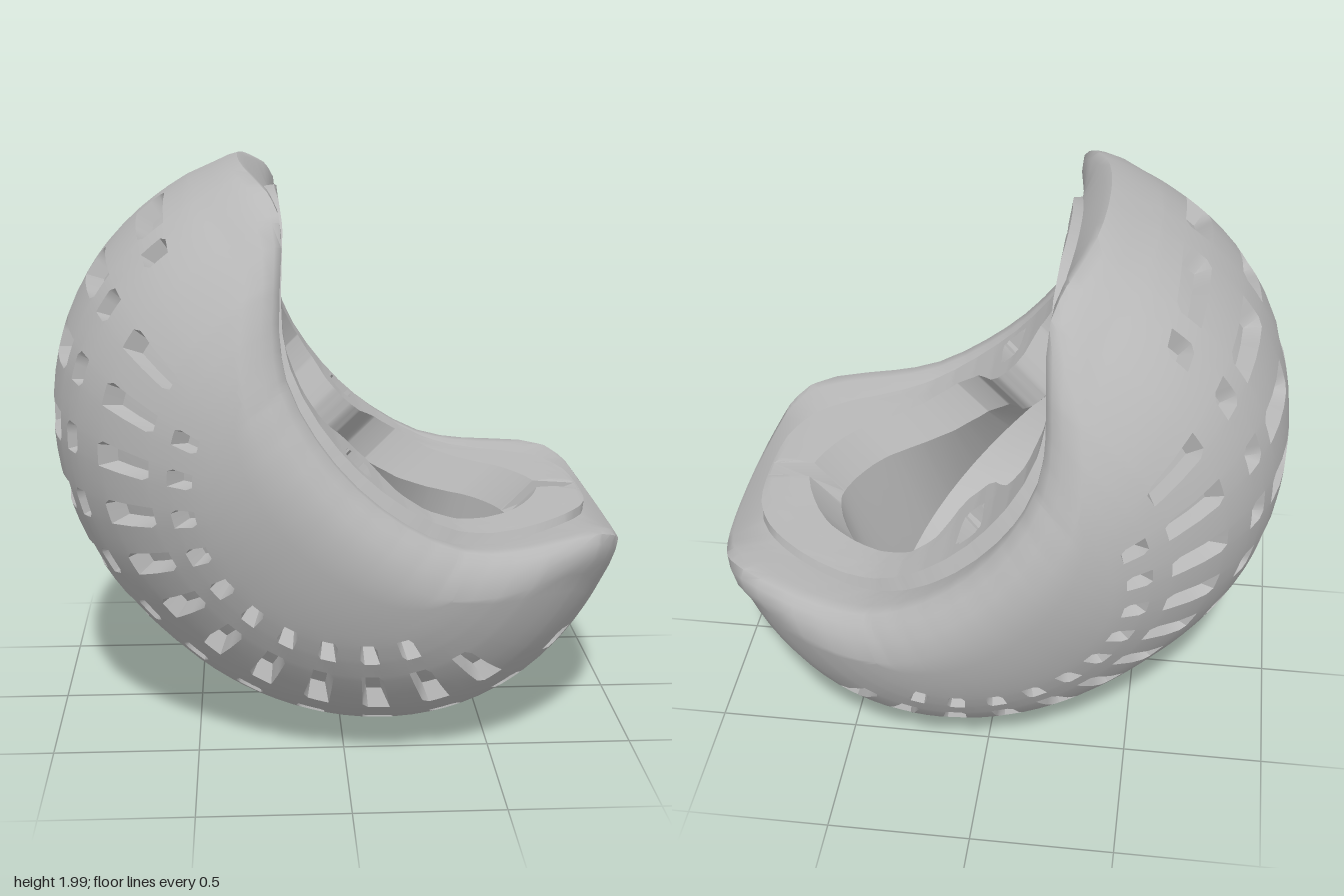
import * as THREE from 'three';
import { toCreasedNormals } from 'three/addons/utils/BufferGeometryUtils.js';

// Local frame: u = axis through the opening (tilted 45 degrees), v = along the pod, z = across it.
const RAD = Math.PI / 180, RV = 1.06, RZ = 0.935, POW = 2.35;
const S = Math.SQRT1_2;
const toWorld = ([v, u, z]) => [(u - v) * S, 1 + (u + v) * S, z];
const depthOf = u => (u < 0 ? 0.938 : 1.05);

function table(points, x) {
  for (let i = 1; i < points.length; i++) {
    const [x0, y0] = points[i - 1], [x1, y1] = points[i];
    if (x <= x1) return y0 + (y1 - y0) * (x - x0) / (x1 - x0);
  }
  return points[points.length - 1][1];
}

// Saddle height of the rim along v
const saddle = v => table([[0, 0.04], [0.1, 0.045], [0.2, 0.06], [0.3, 0.085], [0.4, 0.125], [0.48, 0.18],
  [0.55, 0.245], [0.7, 0.415], [0.76, 0.463], [0.82, 0.482], [0.95, 0.465], [1.1, 0.42]], Math.abs(v));

// Radius of the opening by angle: wide arch, bump at each side
const archRadius = phi => {
  const a = Math.asin(Math.min(1, Math.abs(Math.sin(phi)))) / RAD;
  return table([[0, 0.66], [15, 0.648], [27.8, 0.644], [47, 0.616],
    [63, 0.595], [71.6, 0.537], [77.6, 0.42], [83, 0.385], [90, 0.38]], a);
};
// The same with the narrow notch at each end
const openingRadius = phi => Math.abs(Math.sin(phi)) < 0.05 ? 0.77 : archRadius(phi);

// Outline of the pod seen along its axis
const outline = phi => Math.pow(Math.pow(Math.abs(Math.cos(phi)) / RV, POW) +
  Math.pow(Math.abs(Math.sin(phi)) / RZ, POW), -1 / POW);

// Pushes a point onto the rounded outer surface, less a depth
function onSurface([v, u, z], depth = 0) {
  const flat = Math.pow(Math.pow(Math.abs(v) / RV, POW) + Math.pow(Math.abs(z) / RZ, POW), 2 / POW);
  const k = 1 / Math.sqrt(flat + (u / depthOf(u)) ** 2) - depth / Math.hypot(v, u, z);
  return [v * k, u * k, z * k];
}

// Triangles from quads of points
function quadGeometry(quads, crease) {
  const pos = [];
  for (const [a, b, c, d] of quads) {
    for (const p of [a, b, c, a, c, d]) pos.push(...toWorld(p));
  }
  const g = new THREE.BufferGeometry();
  g.setAttribute('position', new THREE.Float32BufferAttribute(pos, 3));
  return toCreasedNormals(g, crease);
}

function ringQuads(rings) {
  const quads = [];
  for (let r = 0; r + 1 < rings.length; r++) {
    const p = rings[r], q = rings[r + 1];
    for (let i = 0; i < p.length; i++) {
      const j = (i + 1) % p.length;
      quads.push([p[i], p[j], q[j], q[i]]);
    }
  }
  return quads;
}

export function createModel() {
  const grey = new THREE.MeshStandardMaterial({ color: 0xb8b8b8 });
  grey.name = 'grey';
  grey.side = THREE.DoubleSide;

  // Grid lines of the outer shell, following the edges of the pockets
  const half = [2.6, 3.6, 5, 10, 15, 19.5, 21, 25, 26.2, 28.6, 29.8, 33, 37, 38.5, 43, 48.5, 50, 54, 55.2, 58, 59.2, 62];
  const psis = [...half.map(a => -a).reverse(), 0, ...half];
  const betas = [-105];
  for (let k = -7; k < 7; k++) {
    for (const o of [-3.3, -2, 0, 2, 3.3, 7.5]) betas.push(7.5 + 15 * k + o);
  }
  const bands = [[3.6, 21, 100], [25, 29.8, 100], [37, 50, 90], [54, 59.2, 75]];
  const isPocket = (beta, psi) => {
    const centre = Math.floor(beta / 15) * 15 + 7.5, p = Math.abs(psi);
    return Math.abs(beta - centre) < 3.2 &&
      bands.some(([lo, hi, reach]) => p > lo + 0.01 && p < hi - 0.01 && Math.abs(centre) < reach);
  };
  const grid = betas.map(beta => psis.map(psi => {
    const squeeze = 0.17 * (psi / 62) ** 2 * Math.abs(beta / 105) ** 3;
    const b = beta * (1 - squeeze) * RAD, c = Math.cos(psi * RAD);
    return onSurface([Math.sin(b) * c, -Math.cos(b) * c, Math.sin(psi * RAD)], isPocket(beta, psi) ? 0.06 : 0);
  }));
  const shellQuads = [];
  const I = betas.length - 1, J = psis.length - 1;
  for (let i = 0; i < I; i++) {
    for (let j = 0; j < J; j++) {
      shellQuads.push([grid[i][j], grid[i][j + 1], grid[i + 1][j + 1], grid[i + 1][j]]);
    }
  }

  // Border of the grid, counter-clockwise; every ring above it reuses its angles
  const border = [];
  for (let j = 0; j < J; j++) border.push(grid[I][j]);
  for (let i = I; i > 0; i--) border.push(grid[i][J]);
  for (let j = J; j > 0; j--) border.push(grid[0][j]);
  for (let i = 0; i < I; i++) border.push(grid[i][0]);
  const phis = border.map(p => Math.atan2(p[2], p[0]));

  const ring = (radius, height) => phis.map(phi => {
    const r = radius(phi), v = r * Math.cos(phi);
    return [v, height(v, phi), r * Math.sin(phi)];
  });
  // Ring at a share of the outline, with one share for the sides and one for the ends
  const scaled = (side, end) => phi => outline(phi) * (side + (end - side) * Math.cos(phi) ** 2);
  const rimAt = drop => v => saddle(v) - drop;

  // Rounded upper edge of the shell
  const shoulder = phis.map(phi => {
    const r = outline(phi), u = saddle(r * 0.96 * Math.cos(phi)) - 0.16;
    const k = r * Math.sqrt(1 - (u / depthOf(u)) ** 2);
    return [k * Math.cos(phi), u, k * Math.sin(phi)];
  });
  const between = t => border.map((p, i) => onSurface(p.map((c, n) => c + (shoulder[i][n] - c) * t)));
  const ledge = ring(scaled(0.755, 0.755), rimAt(0.035));
  shellQuads.push(...ringQuads([border, between(0.33), between(0.67), shoulder,
    ring(scaled(0.972, 0.932), rimAt(0.09)),
    ring(scaled(0.94, 0.913), rimAt(0.04)),
    ring(scaled(0.9, 0.895), rimAt(0.008)),
    ring(scaled(0.85, 0.865), rimAt(0.008)), ledge]));

  // Raised lip with a socket at each side and the opening wall
  const lip = (t, socketWidth = 0) => ring(
    phi => scaled(0.73, 0.735)(phi) * (1 - t) + openingRadius(phi) * t,
    (v, phi) => saddle(v) + 0.015 * Math.sin(phi) ** 2 - (Math.abs(Math.cos(phi)) < socketWidth ? 0.2 : 0));
  const wallFoot = ring(archRadius, rimAt(0.16));
  const lipRings = [ledge, lip(0), lip(0.14), lip(0.18, 0.06), lip(0.3, 0.095), lip(0.5, 0.095),
    lip(0.63, 0.06), lip(0.67), lip(1), wallFoot];

  // Hollow inside: undercut below the lip, then a deep bowl following the shell
  const bowlRings = [wallFoot];
  const start = Math.asin(0.27 / 0.83);
  for (let n = 0; n <= 14; n++) {
    const a = start + n / 14 * (Math.PI / 2 - start);
    bowlRings.push(ring(phi => outline(phi) * 0.88 * Math.cos(a), () => -0.83 * Math.sin(a)));
  }

  const group = new THREE.Group();
  group.name = 'pod';
  const parts = [['outerShell', shellQuads, 0.9], ['rimLip', ringQuads(lipRings), 0.5],
    ['innerBowl', ringQuads(bowlRings), 0.5]];
  for (const [name, quads, crease] of parts) {
    const mesh = new THREE.Mesh(quadGeometry(quads, crease), grey);
    mesh.name = name;
    group.add(mesh);
  }

  // Centre and stand on the ground
  const box = new THREE.Box3().setFromObject(group), mid = box.getCenter(new THREE.Vector3());
  for (const mesh of group.children) mesh.geometry.translate(-mid.x, -box.min.y, -mid.z);
  return group;
}
